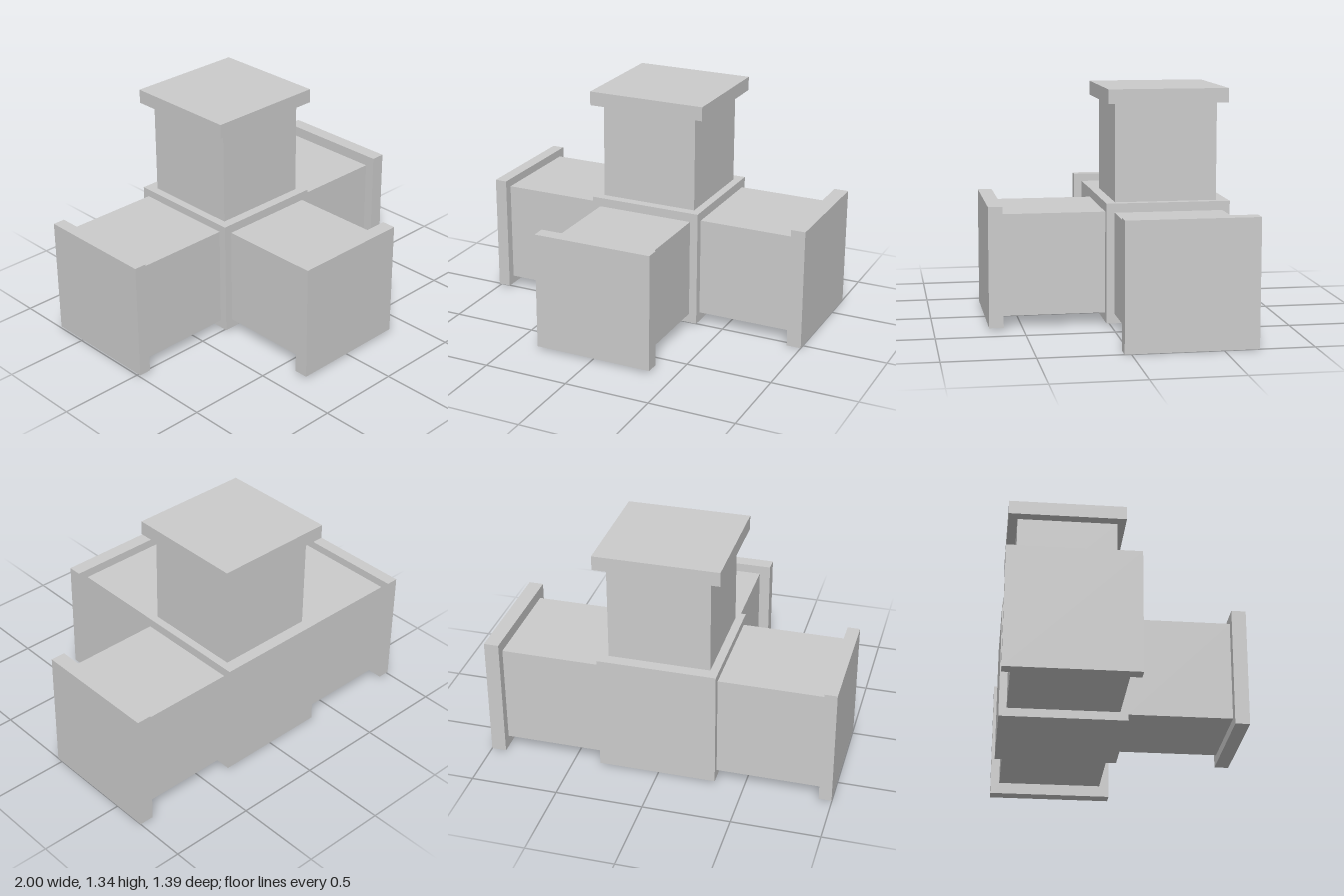
import * as THREE from 'three';

const material = new THREE.MeshStandardMaterial({ color: 0xcccccc, flatShading: true });

// Box given by its extents along each axis
function block(name, [x0, x1], [y0, y1], [z0, z1]) {
  const mesh = new THREE.Mesh(new THREE.BoxGeometry(x1 - x0, y1 - y0, z1 - z0), material);
  mesh.position.set((x0 + x1) / 2, (y0 + y1) / 2, (z0 + z1) / 2);
  mesh.name = name;
  return mesh;
}

export function createModel() {
  const model = new THREE.Group();
  model.name = 'pipeJunction';

  // Central hub, then a square duct and a wider end flange on each open side
  const parts = [
    ['hub', [-0.333, 0.342], [0.012, 0.7], [-0.685, 0.024]],

    ['leftDuct', [0.342, 0.915], [0.067, 0.648], [-0.642, -0.022]],
    ['leftFlange', [0.915, 1], [0, 0.712], [-0.695, 0.036]],

    ['rightDuct', [-0.928, -0.333], [0.06, 0.655], [-0.642, -0.022]],
    ['rightFlange', [-1, -0.928], [0.012, 0.702], [-0.69, 0.028]],

    ['frontDuct', [-0.285, 0.295], [0.067, 0.648], [0.024, 0.61]],
    ['frontFlange', [-0.348, 0.358], [0.014, 0.7], [0.61, 0.692]],

    ['topDuct', [-0.285, 0.295], [0.7, 1.26], [-0.615, -0.032]],
    ['topFlange', [-0.348, 0.358], [1.26, 1.342], [-0.668, 0.016]],
  ];
  for (const part of parts) model.add(block(...part));

  return model;
}
